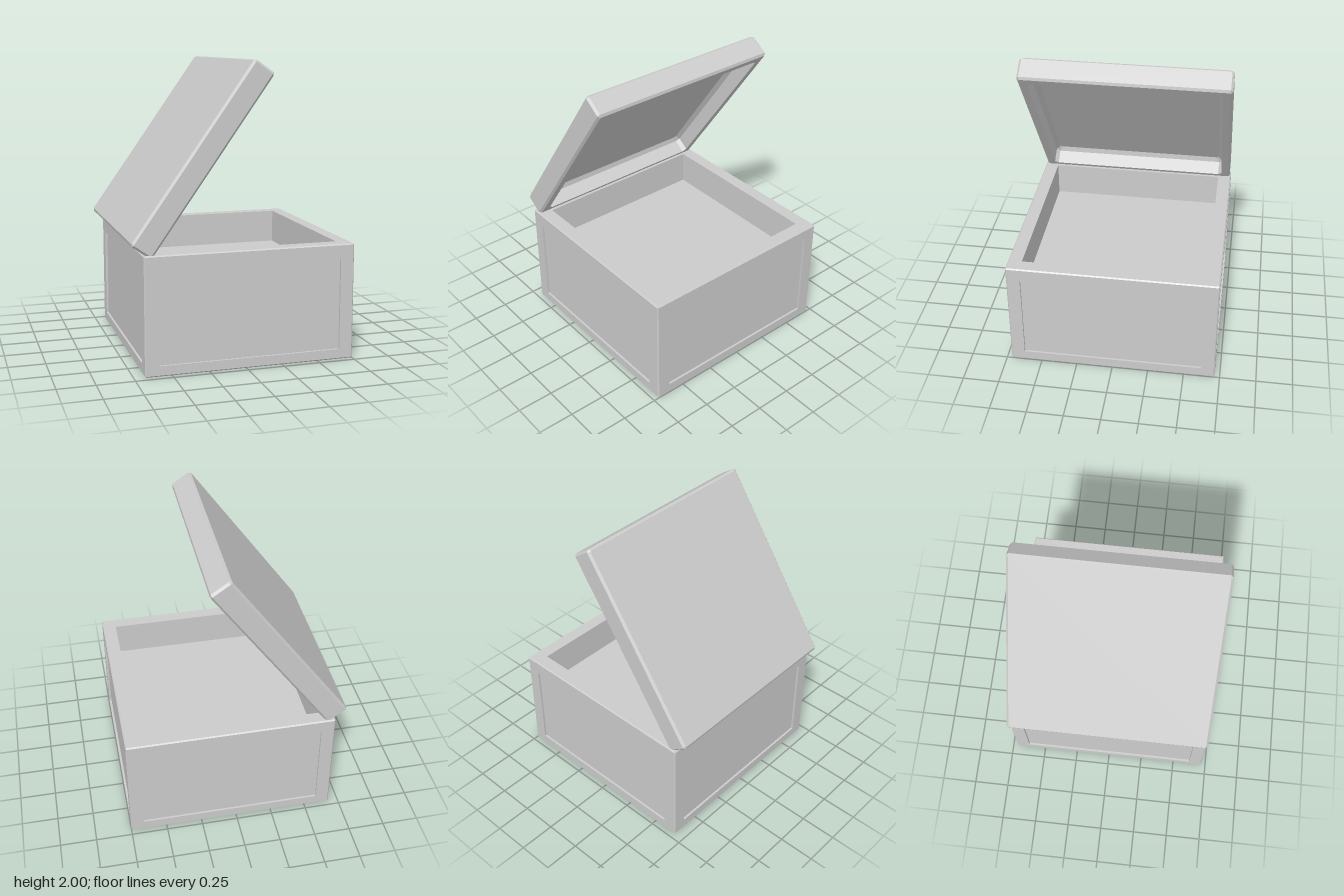
import * as THREE from 'three';

const material = new THREE.MeshStandardMaterial({ color: 0xcccccc, flatShading: true });

// Corner points of a rectangle ring (half sizes w, d at height y), optionally with cut corners
function ringPoints({ w, d, y, cut = 0, shift = 0 }) {
  const pts = cut
    ? [[w - cut, d], [w, d - cut], [w, cut - d], [w - cut, -d],
       [cut - w, -d], [-w, cut - d], [-w, d - cut], [cut - w, d]]
    : [[w, d], [w, -d], [-w, -d], [-w, d]];
  return pts.map(([x, z]) => [x, y, z + shift]);
}

// Skin through a list of rings, closed at the last ring and optionally at the first
function loft(name, rings, capStart = false) {
  const loops = rings.map(ringPoints);
  const n = loops[0].length;
  const pos = [];
  const tri = (...corners) => corners.forEach((p) => pos.push(...p));
  for (let r = 0; r < loops.length - 1; r++) {
    const a = loops[r], b = loops[r + 1];
    for (let i = 0; i < n; i++) {
      const j = (i + 1) % n;
      tri(a[i], a[j], b[j]);
      tri(a[i], b[j], b[i]);
    }
  }
  const first = loops[0], last = loops[loops.length - 1];
  for (let i = 1; i < n - 1; i++) {
    tri(last[0], last[i], last[i + 1]);
    if (capStart) tri(first[0], first[i + 1], first[i]);
  }
  const geometry = new THREE.BufferGeometry();
  geometry.setAttribute('position', new THREE.Float32BufferAttribute(pos, 3));
  geometry.computeVertexNormals();
  const mesh = new THREE.Mesh(geometry, material);
  mesh.name = name;
  return mesh;
}

// One face of the box: half of the edge bevel, a border and a sunken panel
function boxFace(name, w, d, opening, depth, shift = 0) {
  const b = 0.008;
  return loft(name, [
    { w: w - b / 2, d: d - b / 2, y: -b / 2 },
    { w: w - b, d: d - b, y: 0 },
    { w: opening[0], d: opening[1], y: 0, shift },
    { w: opening[0], d: opening[1], y: -depth, shift },
  ]);
}

function createBox() {
  const box = new THREE.Group();
  box.name = 'box';
  const half = 0.715, height = 0.79, inner = 0.62;

  // Open top with the storage tray, and the base
  const tray = boxFace('rimAndTray', half, half, [inner, inner], 0.24);
  tray.position.y = height;
  const base = boxFace('base', half, half, [inner, inner], 0.015);
  base.rotation.x = Math.PI;
  box.add(tray, base);

  // Four walls with framed panels
  ['frontWall', 'leftWall', 'backWall', 'rightWall'].forEach((name, i) => {
    const wall = boxFace(name, half, height / 2, [inner, 0.3125], 0.015, 0.0125);
    wall.rotation.x = Math.PI / 2;
    wall.position.set(0, height / 2, half);
    const side = new THREE.Group();
    side.name = name + 'Side';
    side.rotation.y = i * Math.PI / 2;
    side.add(wall);
    box.add(side);
  });
  box.position.x = 0.035;
  return box;
}

function createLid() {
  const s = 0.705, t = 0.165, b = 0.015, o = 0.642;
  // From the outer face around the rim and down into the hollow
  const lid = loft('lid', [
    { w: s - b, d: s - b, y: 0, cut: b / 2 },
    { w: s, d: s, y: b, cut: b },
    { w: s, d: s, y: t - b, cut: b },
    { w: s - b, d: s - b, y: t, cut: b / 2 },
    { w: o, d: o, y: t, cut: 0.025 },
    { w: o, d: o, y: t - 0.1, cut: 0.025 },
    { w: o - 0.03, d: o - 0.03, y: t - 0.125, cut: 0.015 },
  ], true);
  // Swung open on the hinge side
  lid.rotation.z = 0.956 - Math.PI;
  lid.position.set(-0.355, 1.433, 0);
  return lid;
}

export function createModel() {
  const model = new THREE.Group();
  model.name = 'hingedBox';
  model.add(createBox(), createLid());
  return model;
}
